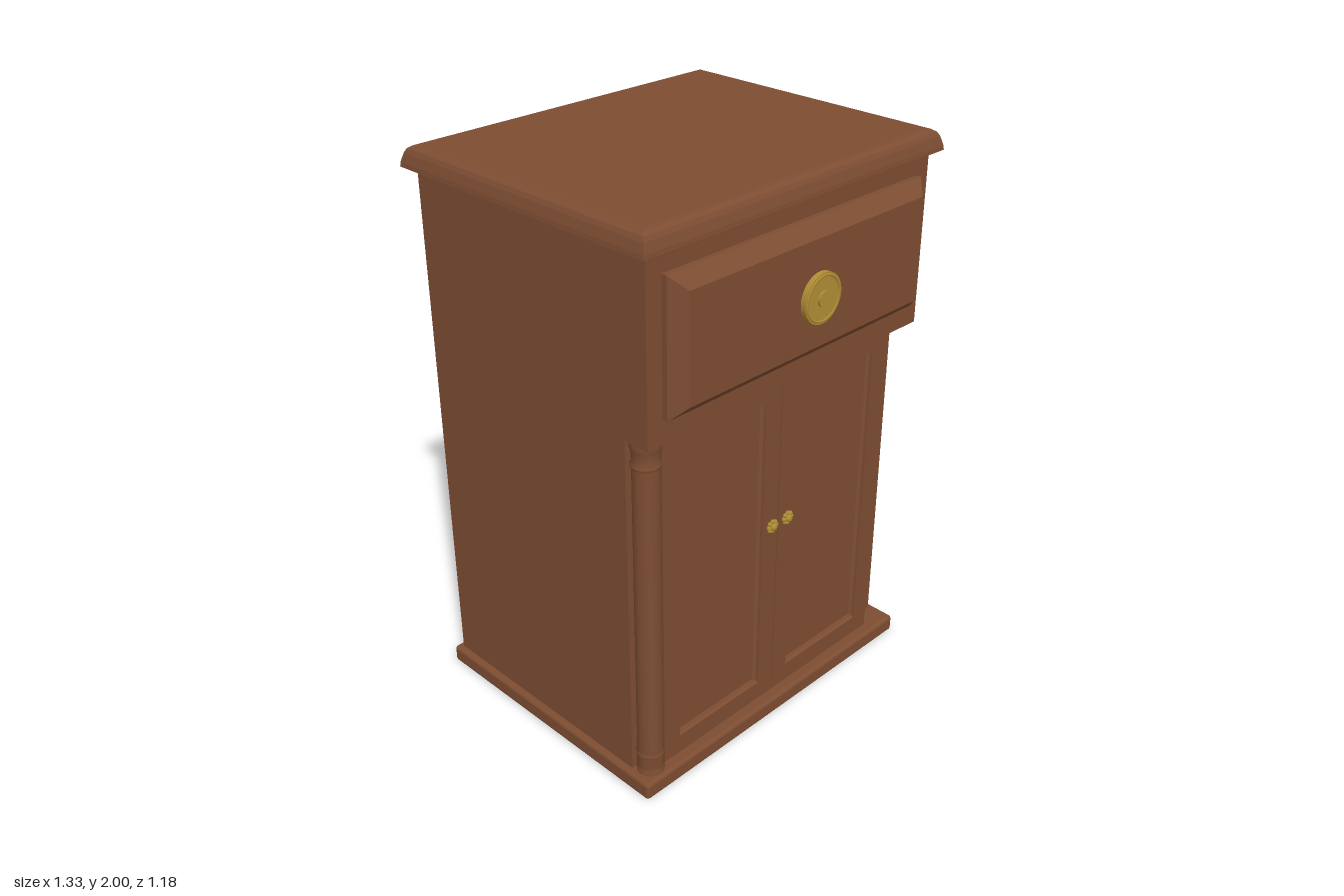
import * as THREE from 'three';
import { RoundedBoxGeometry } from 'three/addons/geometries/RoundedBoxGeometry.js';

const wood = new THREE.MeshStandardMaterial({ color: 0x7d4d32 });
wood.name = 'brown wood';
const brass = new THREE.MeshStandardMaterial({ color: 0xb08d35 });
brass.name = 'brass';

// Stack of rectangles [halfWidth, halfHeight, z] joined by flat faces, capped at both ends
function rectLoft(rings) {
  const corners = rings.map(([w, h, z]) => [[-w, -h, z], [w, -h, z], [w, h, z], [-w, h, z]]);
  const pos = [];
  const quad = (a, b, c, d) => pos.push(...a, ...b, ...c, ...a, ...c, ...d);
  for (let r = 0; r < corners.length - 1; r++) {
    for (let i = 0; i < 4; i++) {
      const j = (i + 1) % 4;
      quad(corners[r][i], corners[r][j], corners[r + 1][j], corners[r + 1][i]);
    }
  }
  const first = corners[0], last = corners[corners.length - 1];
  quad(first[3], first[2], first[1], first[0]);
  quad(last[0], last[1], last[2], last[3]);
  const geo = new THREE.BufferGeometry();
  geo.setAttribute('position', new THREE.Float32BufferAttribute(pos, 3));
  geo.computeVertexNormals();
  return geo;
}

// Turned shape from [radius, height] points; sharp edges come from separate segments
function turned(points, sides) {
  const pts = points.map(([r, y]) => new THREE.Vector2(r, y));
  return new THREE.LatheGeometry(pts, sides);
}

export function createModel() {
  const model = new THREE.Group();
  model.name = 'bedsideCabinet';

  const add = (name, geo, mat, x = 0, y = 0, z = 0, parent = model) => {
    const mesh = new THREE.Mesh(geo, mat);
    mesh.name = name;
    mesh.position.set(x, y, z);
    parent.add(mesh);
    return mesh;
  };
  // Box given by its limits
  const box = (name, x0, x1, y0, y1, z0, z1) =>
    add(name, new THREE.BoxGeometry(x1 - x0, y1 - y0, z1 - z0), wood,
      (x0 + x1) / 2, (y0 + y1) / 2, (z0 + z1) / 2);

  // Plinth and carcass
  add('plinth', new RoundedBoxGeometry(1.31, 0.065, 1.05, 3, 0.014), wood, 0, 0.0325, -0.05);
  box('lowerBody', -0.57, 0.57, 0.06, 1.325, -0.549, 0.35);
  for (const s of [-1, 1]) {
    const inner = s * 0.57, outer = s * 0.63;
    box(s < 0 ? 'rightSidePanel' : 'leftSidePanel',
      Math.min(inner, outer), Math.max(inner, outer), 0.06, 1.325, -0.55, 0.375);
  }
  box('backPanel', -0.57, 0.57, 0.06, 1.325, -0.55, -0.549);
  box('upperBody', -0.63, 0.63, 1.325, 1.93, -0.55, 0.473);

  // Top board with a sloping, softened edge
  const lid = add('topBoard', rectLoft([
    [0.655, 0.54, 1.925], [0.665, 0.548, 1.93], [0.663, 0.546, 1.945], [0.654, 0.537, 1.975],
    [0.646, 0.529, 1.989], [0.632, 0.515, 1.998], [0.62, 0.503, 2.0],
  ]), wood, 0, 0, -0.0425);
  lid.rotation.x = -Math.PI / 2;

  // Drawer front with bevelled border
  add('drawerFront', rectLoft([
    [0.57, 0.225, 0.46], [0.57, 0.225, 0.492], [0.525, 0.18, 0.537],
  ]), wood, 0, 1.634, 0);

  // Round drawer pull
  const pull = new THREE.Group();
  pull.name = 'drawerPull';
  pull.position.set(0, 1.64, 0.53);
  pull.rotation.x = Math.PI / 2;
  model.add(pull);
  add('pullStem', new THREE.CylinderGeometry(0.026, 0.026, 0.055, 24), brass, 0, 0.0275, 0, pull);
  add('pullDisc', new THREE.CylinderGeometry(0.083, 0.083, 0.018, 32), brass, 0, 0.039, 0, pull);
  const rim = add('pullRim', new THREE.TorusGeometry(0.074, 0.005, 6, 32), brass, 0, 0.047, 0, pull);
  rim.rotation.x = Math.PI / 2;

  // Pair of doors with sunk panels and small fluted knobs
  for (const s of [-1, 1]) {
    const side = s < 0 ? 'right' : 'left';
    add(side + 'Door', rectLoft([
      [0.266, 0.629, 0.34], [0.266, 0.629, 0.432], [0.195, 0.558, 0.432],
      [0.193, 0.556, 0.422], [0.182, 0.545, 0.415],
    ]), wood, s * 0.268, 0.695, 0);

    const knob = new THREE.Group();
    knob.name = side + 'DoorKnob';
    knob.position.set(s * 0.038, 0.785, 0.43);
    knob.rotation.x = Math.PI / 2;
    model.add(knob);
    add('knobCentre', turned([[0.012, 0], [0.014, 0.012], [0.014, 0.022], [0.008, 0.028], [0, 0.028]], 12),
      brass, 0, 0, 0, knob);
    for (let i = 0; i < 8; i++) {
      const a = (i / 8) * Math.PI * 2;
      const lobe = add('knobLobe', new THREE.SphereGeometry(0.0085, 8, 6), brass,
        Math.cos(a) * 0.018, 0.013, Math.sin(a) * 0.018, knob);
      lobe.scale.y = 0.9;
    }
  }

  // Turned column on one front corner
  add('cornerColumn', turned([
    [0.047, 0.06], [0.047, 0.078], [0.042, 0.085], [0.046, 0.095], [0.046, 0.135],
    [0.049, 0.14], [0.049, 0.148], [0.044, 0.155], [0.044, 1.235], [0.049, 1.241],
    [0.049, 1.249], [0.044, 1.256], [0.044, 1.285], [0.048, 1.3], [0.05, 1.31], [0.05, 1.325],
  ], 28), wood, -0.582, 0, 0.413);

  return model;
}
